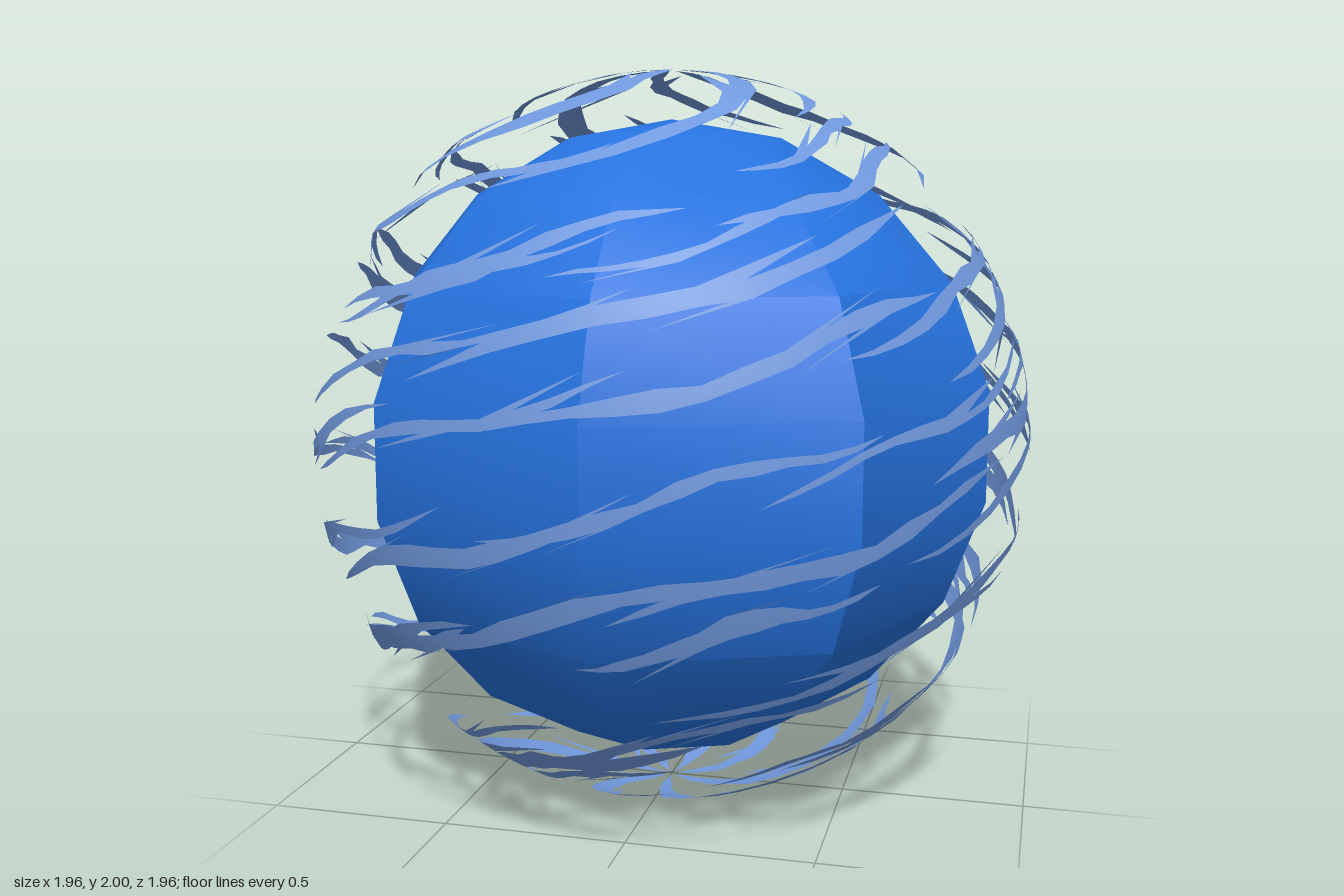
import * as THREE from 'three';
import { toCreasedNormals } from 'three/addons/utils/BufferGeometryUtils.js';

const DEG = Math.PI / 180;
const SLOPE = 0.27; // degrees of latitude gained per degree of longitude

// Broad wisps: [longitude, latitude, span, width], angles in degrees
const BROAD = [
  [18, 27, 90, 0.05], [-18, 31, 70, 0.05], [-20, -9, 62, 0.05], [22, -18, 45, 0.05],
  [-40, -26, 45, 0.07], [-15, -49, 70, 0.09], [92, 24, 70, 0.05], [82, 8, 60, 0.05],
  [90, -38, 100, 0.07], [138, -5, 70, 0.06], [131, -20, 75, 0.05], [220, 34, 80, 0.05],
  [207, 48, 60, 0.05], [230, 15, 80, 0.05],
];

// Small seeded generator
function seeded(seed) {
  return () => (seed = (seed * 16807) % 2147483647) / 2147483647;
}

// Tapered, ragged ribbon on the unit sphere, with pointed spurs;
// path(t) gives [longitude, latitude] in degrees
function addWisp(out, rand, path, width) {
  const point = (t) => {
    const [lon, lat] = path(t);
    return new THREE.Vector3().setFromSphericalCoords(1, (90 - lat) * DEG, lon * DEG);
  };
  const at = (t, offset) => {
    const p = point(t);
    const along = point(t + 0.01).sub(point(t - 0.01));
    return p.clone().addScaledVector(p.clone().cross(along).normalize(), offset).normalize();
  };
  const n = 12;
  const half = (t) => width * 0.5 * Math.sin(Math.PI * t) ** 0.7 * (0.55 + 0.8 * rand());
  const upper = [], lower = [];
  for (let i = 0; i <= n; i++) {
    upper.push(at(i / n, half(i / n)));
    lower.push(at(i / n, -half(i / n)));
  }
  for (let i = 0; i < n; i++) {
    out.push(lower[i], lower[i + 1], upper[i], lower[i + 1], upper[i + 1], upper[i]);
  }
  // One spur forks forward, one backward
  const k = 2 + Math.floor(rand() * 7), m = 3 + Math.floor(rand() * 7);
  out.push(upper[k], upper[k + 1], at((k + 3) / n, width * 1.1));
  out.push(lower[m + 1], lower[m], at((m - 2) / n, -width * 1.1));
}

// Slanting streak centred on a longitude and latitude
function streak(lon, lat, span) {
  return (t) => [lon + span * (t - 0.5), lat + SLOPE * span * (t - 0.5) + 1.2 * Math.sin(t * 9 + lon)];
}

// Spiral arm leaving a pole (sign 1 is the top, -1 the bottom)
function arm(sign, lon, reach, turn) {
  return (t) => [lon - sign * turn * t * t, sign * (90 - 1 - reach * t)];
}

function cloudMesh(name, material, wisps, rand) {
  const verts = [];
  for (const { path, width } of wisps) addWisp(verts, rand, path, width);
  const geo = new THREE.BufferGeometry().setFromPoints(verts);
  geo.setAttribute('normal', geo.attributes.position.clone());
  geo.scale(0.983, 1, 0.983);
  const mesh = new THREE.Mesh(geo, material);
  mesh.name = name;
  mesh.position.y = 1;
  return mesh;
}

export function createModel() {
  const rand = seeded(7);
  const model = new THREE.Group();
  model.name = 'planet';
  const ocean = new THREE.MeshStandardMaterial({ color: 0x2673e0 });
  ocean.name = 'oceanBlue';
  const cloud = new THREE.MeshStandardMaterial({ color: 0x7199de, side: THREE.DoubleSide });
  cloud.name = 'cloudBlue';

  // Eight-sided globe, creased along its steep meridians only
  const globe = new THREE.SphereGeometry(0.87, 8, 9).scale(1.018, 1, 1.018);
  const core = new THREE.Mesh(toCreasedNormals(globe, 38 * DEG), ocean);
  core.name = 'globe';
  core.position.y = 1;
  model.add(core);

  // Broad cloud streaks
  const broad = BROAD.map(([lon, lat, span, width]) => ({ path: streak(lon, lat, span), width }));
  model.add(cloudMesh('broadClouds', cloud, broad, rand));

  // Thin streaks in staggered rows of latitude
  const thin = [];
  for (let row = -6; row <= 6; row++) {
    const lat = row * 9;
    const count = Math.round(5 * Math.cos(lat * DEG));
    for (let i = 0; i < count; i++) {
      const lon = ((i + 0.3 * rand()) * 360) / count + row * 47;
      thin.push({ path: streak(lon, lat + 4 * (rand() - 0.5), 50 + 25 * rand()), width: 0.028 + 0.02 * rand() });
    }
  }
  model.add(cloudMesh('thinClouds', cloud, thin, rand));

  // Swirls of alternating long and short arms at both poles
  for (const sign of [1, -1]) {
    const arms = [];
    for (let i = 0; i < 7; i++) {
      const long = i % 2 === 0;
      arms.push({
        path: arm(sign, i * 51 + 60, long ? 46 : 30, long ? 85 : 60),
        width: long ? 0.075 : 0.055,
      });
    }
    model.add(cloudMesh(sign > 0 ? 'topSwirl' : 'bottomSwirl', cloud, arms, rand));
  }
  return model;
}
